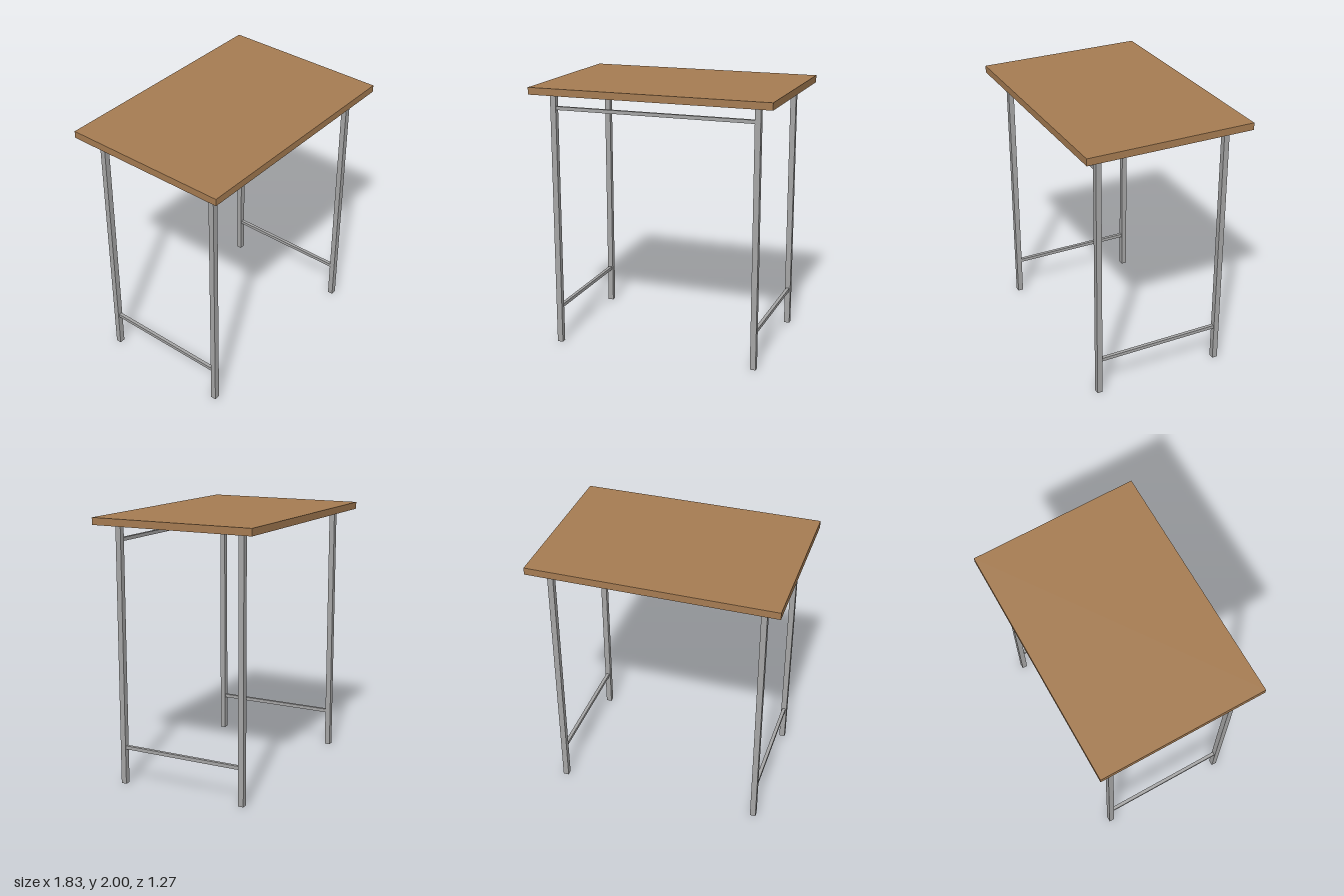
import * as THREE from 'three';

export function createModel() {
  const model = new THREE.Group();
  const wood = new THREE.MeshStandardMaterial({ color: 0xa67c52 });
  wood.name = 'wood';
  const metal = new THREE.MeshStandardMaterial({ color: 0xa6a6a6 });
  metal.name = 'metal';

  const addBox = (name, material, size, position) => {
    const mesh = new THREE.Mesh(new THREE.BoxGeometry(...size), material);
    mesh.name = name;
    mesh.position.set(...position);
    model.add(mesh);
  };

  const top = { width: 1.826, thickness: 0.053, depth: 1.266 };
  const legX = 0.776, legZ = 0.493;
  const legWidth = 0.043, legDepth = 0.041, bar = 0.026;
  const legHeight = 2 - top.thickness;

  // Tabletop slab
  addBox('tabletop', wood, [top.width, top.thickness, top.depth], [0, 2 - top.thickness / 2, 0]);

  for (const [side, sx] of [['left', 1], ['right', -1]]) {
    // Square legs
    for (const [end, sz] of [['Front', 1], ['Back', -1]]) {
      addBox(`${side}${end}Leg`, metal, [legWidth, legHeight, legDepth], [sx * legX, legHeight / 2, sz * legZ]);
    }
    // Low stretcher joining the front and back legs
    addBox(`${side}Stretcher`, metal, [bar, bar, 2 * legZ - legDepth], [sx * legX, 0.283, 0]);
  }

  // High rail between the front legs only
  addBox('frontRail', metal, [2 * legX - legWidth, bar, bar], [0, 1.835, legZ]);

  return model;
}
